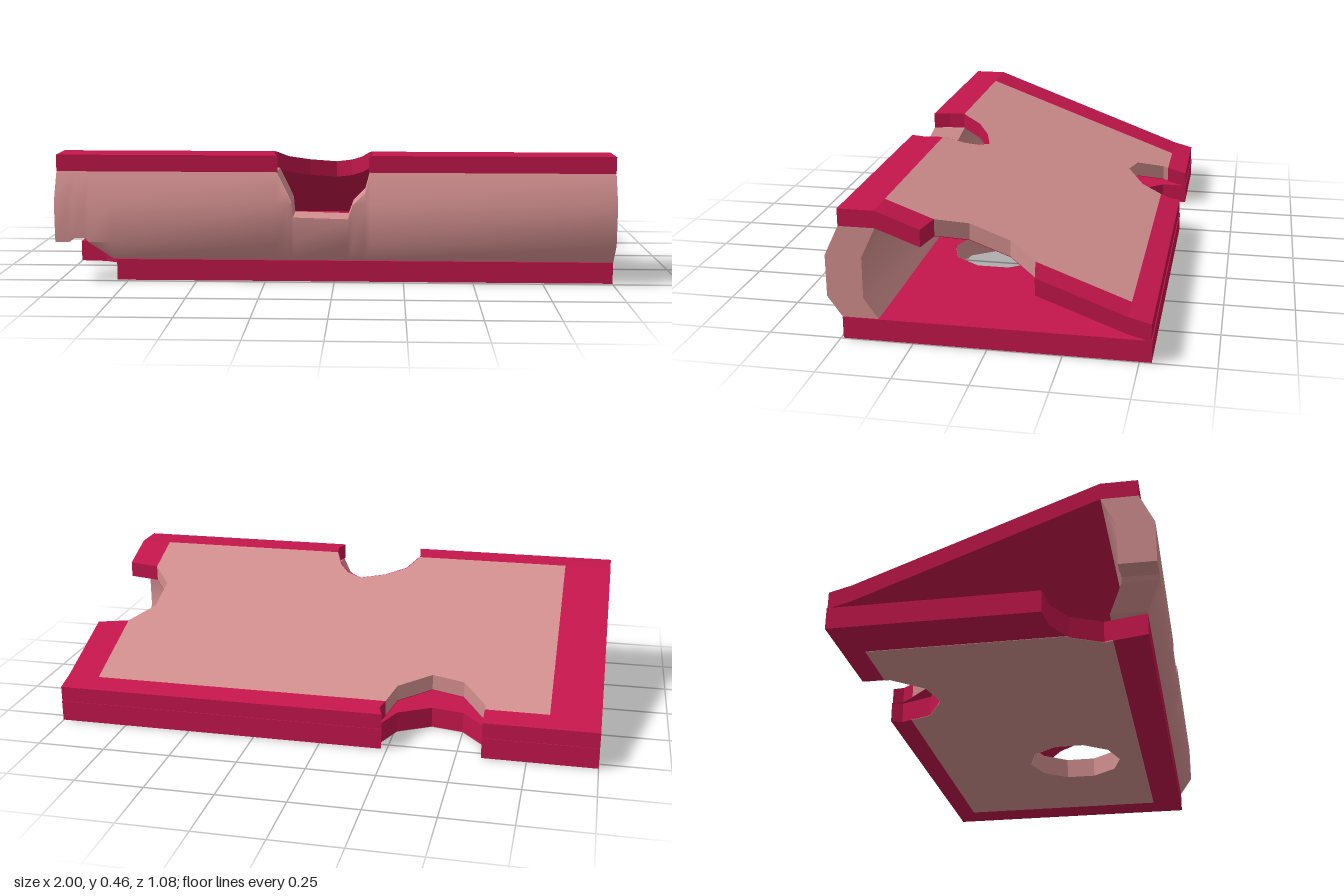
import * as THREE from 'three';
import { mergeGeometries } from 'three/addons/utils/BufferGeometryUtils.js';

const red = new THREE.MeshStandardMaterial({ color: 0xc4164c, flatShading: true });
const pink = new THREE.MeshStandardMaterial({ color: 0xd49090, flatShading: true });
const pinkSmooth = new THREE.MeshStandardMaterial({ color: 0xd49090, side: THREE.DoubleSide });
const pinkThin = new THREE.MeshStandardMaterial({ color: 0xd49090, side: THREE.DoubleSide, flatShading: true });

// Solid over an [x, z] outline, between the heights lo(z) and hi(z)
function slab(outline, lo, hi, hole) {
  const toShape = (pts) => pts.map(([x, z]) => new THREE.Vector2(x, -z));
  const shape = new THREE.Shape(toShape(outline));
  if (hole) shape.holes.push(new THREE.Path(toShape(hole)));
  const g = new THREE.ExtrudeGeometry(shape, { depth: 1, bevelEnabled: false });
  g.rotateX(-Math.PI / 2);
  const p = g.attributes.position;
  for (let i = 0; i < p.count; i++) {
    const z = p.getZ(i);
    p.setY(i, lo(z) + p.getY(i) * (hi(z) - lo(z)));
  }
  g.computeVertexNormals();
  return g;
}

// Quad grid over columns of points
function surface(cols, flip, flat) {
  const n = cols[0].length, index = [];
  for (let i = 0; i < cols.length - 1; i++) {
    for (let j = 0; j < n - 1; j++) {
      const a = i * n + j, b = a + n, c = b + 1, d = a + 1;
      index.push(...(flip ? [a, c, b, a, d, c] : [a, b, c, a, c, d]));
    }
  }
  let g = new THREE.BufferGeometry();
  g.setAttribute('position', new THREE.Float32BufferAttribute(cols.flat(2), 3));
  g.setIndex(index);
  if (flat) g = g.toNonIndexed();
  g.computeVertexNormals();
  return flat ? g : g.toNonIndexed();
}

// Linear interpolation along a list of [t, value]
function along(list, t) {
  for (let i = 1; i < list.length; i++) {
    const [a, va] = list[i - 1], [b, vb] = list[i];
    if (t <= b) return va + (vb - va) * Math.max(0, (t - a) / (b - a));
  }
  return list[list.length - 1][1];
}

// Bitten, curved spine: one column per change in the upper or lower edge
function spineGeometry() {
  const bulge = [[0.08, 0.49], [0.15, 0.54], [0.295, 0.54], [0.4, 0.49]];
  const lower = [[-1, 0.15], [-0.95, 0.15], [-0.935, 0.165], [-0.89, 0.165], [-0.88, 0.15], [-0.8, 0.08], [1, 0.08]];
  const upper = [[-1, 0.4], [-0.205, 0.4], [-0.165, 0.33], [-0.15, 0.3], [-0.145, 0.245],
    [0.05, 0.24], [0.068, 0.29], [0.11, 0.33], [0.13, 0.4], [1, 0.4]];
  const xs = [...new Set([...lower, ...upper].map((p) => p[0]))].sort((a, b) => a - b);
  const skin = (inset) => xs.map((x) => {
    const lo = along(lower, x), hi = along(upper, x);
    return [lo, 0.15, 0.295, hi].map((k, i) => {
      const y = Math.min(Math.max(k, lo + 0.002 * i), hi - 0.002 * (3 - i));
      return [x, y, along(bulge, y) - inset];
    });
  });
  const outer = skin(0), inner = skin(0.125), last = xs.length - 1;
  const edge = (j) => xs.map((_, i) => [outer[i][j], inner[i][j]]);
  return mergeGeometries([
    surface(outer, false), surface(inner, true),
    surface(edge(3), false, true), surface(edge(0), true, true),
    surface([outer[last], inner[last]], false, true),
    surface([outer[0], inner[0]], true, true),
  ]);
}

export function createModel() {
  const book = new THREE.Group();
  book.name = 'damagedBook';
  const add = (name, geometry, material, parent = book) => {
    const mesh = new THREE.Mesh(geometry, material);
    mesh.name = name;
    parent.add(mesh);
    return mesh;
  };
  const rect = (x0, x1, z0, z1) => [[x0, z0], [x1, z0], [x1, z1], [x0, z1]];
  const flat = (y) => () => y;

  // Bites shared by both covers
  const backBite = [[-0.59, -0.44], [-0.5, -0.335], [-0.38, -0.31], [-0.26, -0.38]];
  const frontBite = [[0.13, 0.365], [0.1, 0.29], [0.06, 0.24], [0, 0.21], [-0.1, 0.24], [-0.18, 0.29], [-0.22, 0.365]];

  // Bottom cover with a hole, a bitten back edge and a missing corner
  const bottom = new THREE.Group();
  bottom.name = 'bottomCover';
  book.add(bottom);
  const sides = 10, r = 0.185, hx = 0.305, hz = 0.093;
  const hole = Array.from({ length: sides }, (_, i) => {
    const a = (i / sides) * Math.PI * 2;
    return [hx + r * Math.sin(a), hz + r * Math.cos(a)];
  });
  add('bottomBoard', slab([[-1, -0.54], [-0.59, -0.54], ...backBite, [-0.215, -0.5], [-0.23, -0.54],
    [1, -0.54], [1, 0.49], [-0.79, 0.49], [-0.755, 0.34], [-0.81, 0.23], [-0.9, 0.18], [-1, 0.17]],
  flat(0.0015), flat(0.078), hole), red, bottom);
  add('bottomPanel', slab([[-0.82, -0.46], [-0.59, -0.46], ...backBite, [-0.23, -0.46],
    [0.87, -0.46], [0.87, 0.37], [-0.765, 0.37], [-0.755, 0.34], [-0.81, 0.23], [-0.82, 0.225]],
  flat(0), flat(0.003), hole), pink, bottom);
  const lining = add('holeLining', new THREE.CylinderGeometry(r - 0.001, r - 0.001, 0.078, sides, 1, true), pinkThin, bottom);
  lining.position.set(hx, 0.039, hz);

  // Top cover: bent board, rim pieces around a sloping panel
  const top = new THREE.Group();
  top.name = 'topCover';
  book.add(top);
  const hi = (z) => along([[-0.537, 0.135], [-0.46, 0.155], [0.365, 0.46], [0.5, 0.46]], z);
  const lo = (z) => hi(z) - 0.06;
  const inside = (z) => lo(z) + 0.002;
  const rim = [
    [[-1, 0.365], [-0.22, 0.365], [-0.218, 0.43], [-0.203, 0.49], [-1, 0.49]],
    [[0.13, 0.365], [1, 0.365], [1, 0.49], [0.125, 0.49], [0.14, 0.43]],
    rect(-1, -0.82, -0.46, 0.365),
    [[0.88, -0.46], [1, -0.46], [1, -0.16], [0.88, -0.14]],
    [[0.88, 0.2], [1, 0.215], [1, 0.365], [0.88, 0.365]],
    rect(-1, -0.59, -0.537, -0.46),
    [[-0.23, -0.537], [1, -0.537], [1, -0.46], [-0.23, -0.46], [-0.215, -0.5]],
  ];
  add('topRim', mergeGeometries(rim.map((p) => slab(p, lo, hi))), red, top);
  const panel = [[-0.82, -0.46], [-0.59, -0.46], ...backBite, [-0.23, -0.46], [0.88, -0.46],
    [0.88, -0.14], [0.8, -0.04], [0.8, 0.1], [0.88, 0.2], [0.88, 0.365], ...frontBite, [-0.82, 0.365]];
  add('topPanel', slab(panel, inside, hi), pink, top);
  add('topLining', slab(panel, lo, inside), red, top);

  // Thin red edge inside the front bite
  const shrunk = frontBite.map(([x, z]) => [-0.04 + (x + 0.04) * 0.98, Math.min(z + 0.003, 0.365)]);
  add('frontBiteEdge', slab([...frontBite, ...shrunk.reverse()], lo, (z) => hi(z) - 0.001), red, top);

  add('spine', spineGeometry(), pinkSmooth);
  return book;
}
